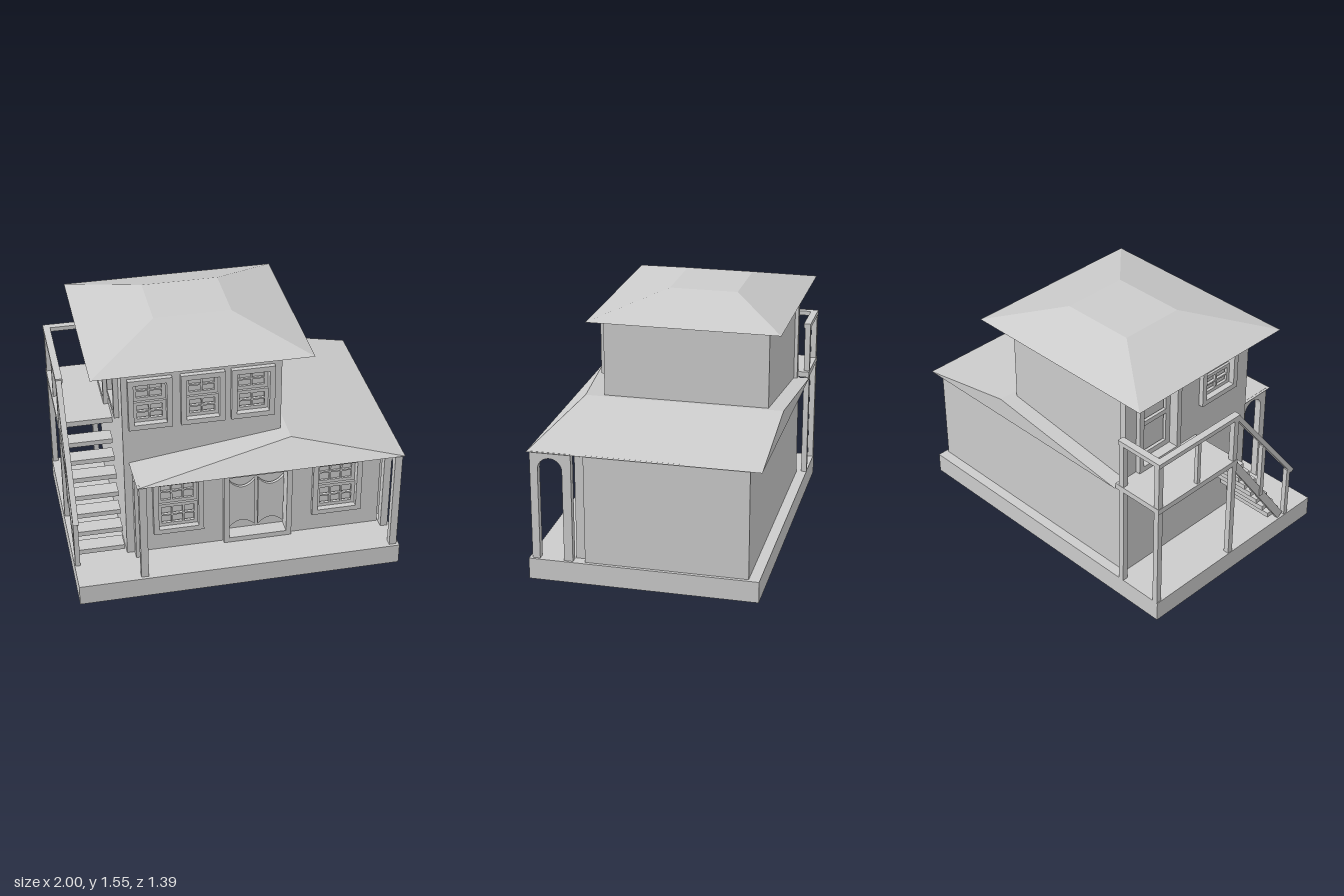
import * as THREE from 'three';
import { ConvexGeometry } from 'three/addons/geometries/ConvexGeometry.js';

const mat = new THREE.MeshStandardMaterial({ color: 0xcccccc, flatShading: true });

function add(parent, geo, name) {
  const m = new THREE.Mesh(geo, mat);
  m.name = name;
  parent.add(m);
  return m;
}

// box from its min and max corners
function box(parent, name, x0, x1, y0, y1, z0, z1) {
  const m = add(parent, new THREE.BoxGeometry(x1 - x0, y1 - y0, z1 - z0), name);
  m.position.set((x0 + x1) / 2, (y0 + y1) / 2, (z0 + z1) / 2);
}

// square beam between two points in a plane of constant x
function slope(parent, name, x, w, h, y0, z0, y1, z1) {
  const m = add(parent, new THREE.BoxGeometry(w, h, Math.hypot(y1 - y0, z1 - z0)), name);
  m.position.set(x, (y0 + y1) / 2, (z0 + z1) / 2);
  m.rotation.x = -Math.atan2(y1 - y0, z1 - z0);
}

function rect(path, x0, x1, y0, y1) {
  return path.moveTo(x0, y0).lineTo(x1, y0).lineTo(x1, y1).lineTo(x0, y1).closePath();
}

const extrude = (shape, depth) =>
  new THREE.ExtrudeGeometry(shape, { depth, bevelEnabled: false, curveSegments: 10 });

// rectangular panel with a grid of openings
function grid(w, h, border, bar, cols, rows, depth) {
  const s = new THREE.Shape();
  rect(s, -w / 2, w / 2, -h / 2, h / 2);
  const cw = (w - 2 * border - (cols - 1) * bar) / cols;
  const ch = (h - 2 * border - (rows - 1) * bar) / rows;
  for (let i = 0; i < cols; i++) for (let j = 0; j < rows; j++) {
    const x = -w / 2 + border + i * (cw + bar), y = -h / 2 + border + j * (ch + bar);
    s.holes.push(rect(new THREE.Path(), x, x + cw, y, y + ch));
  }
  return extrude(s, depth);
}

// wall with openings given as [centre x, centre y, frame width, frame height]
const TRIM = 0.033, WALL = 0.065;
function wall(x0, x1, y0, y1, openings) {
  const s = new THREE.Shape();
  rect(s, x0, x1, y0, y1);
  for (const [x, y, w, h] of openings) {
    const a = w / 2 - TRIM, b = h / 2 - TRIM;
    s.holes.push(rect(new THREE.Path(), x - a, x + a, y - b, y + b));
  }
  return extrude(s, WALL);
}

// sash window facing +z, wall surface at z = 0, sashes set back in the opening
function sashWindow(name, w, h, cols) {
  const g = new THREE.Group();
  g.name = name;
  add(g, grid(w, h, TRIM, 0, 1, 1, 0.03), 'windowFrame');
  const iw = w - 2 * TRIM, ih = h - 2 * TRIM;
  add(g, grid(iw, ih / 2, 0.022, 0.01, cols, 2, 0.018), 'upperSash').position.set(0, ih / 4, -0.04);
  add(g, grid(iw, ih / 2, 0.022, 0.01, cols, 2, 0.018), 'lowerSash').position.set(0, -ih / 4, -0.025);
  box(g, 'glass', -iw / 2, iw / 2, -ih / 2, ih / 2, -0.05, -0.035);
  return g;
}

export function createModel() {
  const root = new THREE.Group();
  root.name = 'house';
  root.rotation.y = -0.011; // the house stands very slightly turned
  const place = (g, x, y, z, ry = 0) => {
    g.position.set(x, y, z);
    g.rotation.y = ry;
    root.add(g);
  };

  const lowerWindows = [[-0.34, 0.455, 0.31, 0.39], [0.65, 0.455, 0.31, 0.39]];
  const upperWindows = [-0.495, -0.185, 0.113].map(x => [x, 1.207, 0.26, 0.335]);
  const sideWindow = [0.14, 1.207, 0.3, 0.335];
  const frontDoor = [0.152, 0.39, 0.425, 0.515];
  const sideDoor = [-0.36, 1.11, 0.34, 0.55];

  // base and storeys
  const front = 0.413, left = -0.66;
  box(root, 'base', -0.9925, 0.9925, 0, 0.13, -0.684, 0.684);
  box(root, 'lowerStorey', left, 0.972, 0.13, 0.8, -0.62, front - WALL);
  box(root, 'upperStorey', left + WALL, 0.288, 0.77, 1.43, -0.593, front - WALL);
  add(root, wall(left, 0.925, 0.13, 0.77, [...lowerWindows, frontDoor]), 'lowerFrontWall')
    .position.z = front - WALL;
  add(root, wall(left + WALL, 0.288, 0.77, 1.43, upperWindows), 'upperFrontWall')
    .position.z = front - WALL;
  const side = add(root, wall(-0.593, front, 0.77, 1.43, [sideWindow, sideDoor]), 'upperSideWall');
  side.position.x = left + WALL;
  side.rotation.y = -Math.PI / 2;
  box(root, 'cornerPost', left, left + 0.04, 0.8, 1.42, -0.615, -0.59);

  // roofs
  const roof = (name, pts) =>
    add(root, new ConvexGeometry(pts.map(p => new THREE.Vector3(...p))), name);
  roof('lowerRoof', [
    [-0.625, 0.797, 0.685], [0.987, 0.797, 0.682], [0.987, 0.797, -0.69], [-0.65, 0.797, -0.69],
    [0.325, 0.923, 0.521], [0.325, 0.923, -0.69],
  ]);
  roof('upperRoof', [
    [-0.841, 1.427, 0.472], [0.469, 1.427, 0.472], [0.469, 1.427, -0.69], [-0.841, 1.427, -0.69],
    [-0.405, 1.552, 0.059], [0.063, 1.552, 0.059], [0.063, 1.552, -0.354], [-0.405, 1.552, -0.354],
  ]);

  // arched porch ends: two posts joined by an arch (shape x runs along z)
  for (const x of [-0.613, 0.932]) {
    const s = new THREE.Shape();
    s.moveTo(0.42, 0.13).lineTo(0.473, 0.13).lineTo(0.473, 0.69);
    s.absarc(0.546, 0.69, 0.073, Math.PI, 0, true);
    s.lineTo(0.619, 0.13).lineTo(0.665, 0.13).lineTo(0.665, 0.8).lineTo(0.42, 0.8).closePath();
    const m = add(root, extrude(s, 0.045), 'porchArch');
    m.rotation.y = -Math.PI / 2;
    m.position.x = x + 0.045;
  }

  // windows
  for (const [x, y, w, h] of lowerWindows) place(sashWindow('lowerWindow', w, h, 3), x, y, front);
  for (const [x, y, w, h] of upperWindows) place(sashWindow('upperWindow', w, h, 2), x, y, front);
  const [sz, sy, sw, sh] = sideWindow;
  place(sashWindow('sideWindow', sw, sh, 2), left, sy, sz, -Math.PI / 2);

  // swing doors in a frame
  const door = new THREE.Group();
  door.name = 'swingDoors';
  add(door, grid(frontDoor[2], frontDoor[3], TRIM, 0, 1, 1, 0.03), 'doorFrame');
  for (const s of [-1, 1]) {
    const leaf = new THREE.Shape();
    leaf.moveTo(-0.08, -0.18).quadraticCurveTo(-0.04, -0.135, 0, -0.135);
    leaf.quadraticCurveTo(0.04, -0.135, 0.08, -0.18).lineTo(0.08, 0.165);
    leaf.quadraticCurveTo(0.04, 0.115, 0, 0.115);
    leaf.quadraticCurveTo(-0.04, 0.115, -0.08, 0.165).closePath();
    add(door, extrude(leaf, 0.02), 'doorLeaf').position.set(s * 0.09, 0, -0.04);
  }
  place(door, frontDoor[0], frontDoor[1], front);

  // upstairs door on the landing
  const landingDoor = new THREE.Group();
  landingDoor.name = 'landingDoor';
  add(landingDoor, grid(sideDoor[2], sideDoor[3], TRIM, 0, 1, 1, 0.03), 'doorFrame');
  add(landingDoor, grid(0.274, 0.484, 0.035, 0.03, 1, 2, 0.02), 'doorPanel').position.z = -0.05;
  place(landingDoor, left, sideDoor[1], sideDoor[0], -Math.PI / 2);

  // landing with posts and rails
  box(root, 'landing', -0.992, -0.65, 0.8, 0.835, -0.686, -0.03);
  for (const [x, z] of [[-0.988, -0.684], [-0.712, -0.684], [-0.988, -0.066]])
    box(root, 'landingPost', x, x + 0.035, 0.13, 1.14, z, z + 0.035);
  box(root, 'railPost', -0.984, -0.959, 0.83, 1.14, -0.365, -0.34);
  box(root, 'sideRail', -0.992, -0.949, 1.125, 1.153, -0.686, -0.025);
  box(root, 'backRail', -0.992, -0.67, 1.125, 1.153, -0.686, -0.642);

  // stairs
  for (let i = 0; i < 7; i++) {
    const z = 0.06 + i * 0.06, y = 0.74 - i * 0.09;
    box(root, 'tread', -0.965, -0.675, y - 0.032, y, z - 0.1, z);
  }
  slope(root, 'stringer', -0.97, 0.025, 0.05, 0.79, -0.04, 0.14, 0.42);

  // stair handrail
  slope(root, 'stairRail', -0.973, 0.035, 0.028, 1.14, -0.04, 0.45, 0.5);
  box(root, 'stairPost', -0.988, -0.958, 0.13, 0.48, 0.45, 0.48);
  box(root, 'stairPost', -0.988, -0.958, 0.42, 0.8, 0.2, 0.23);
  return root;
}
